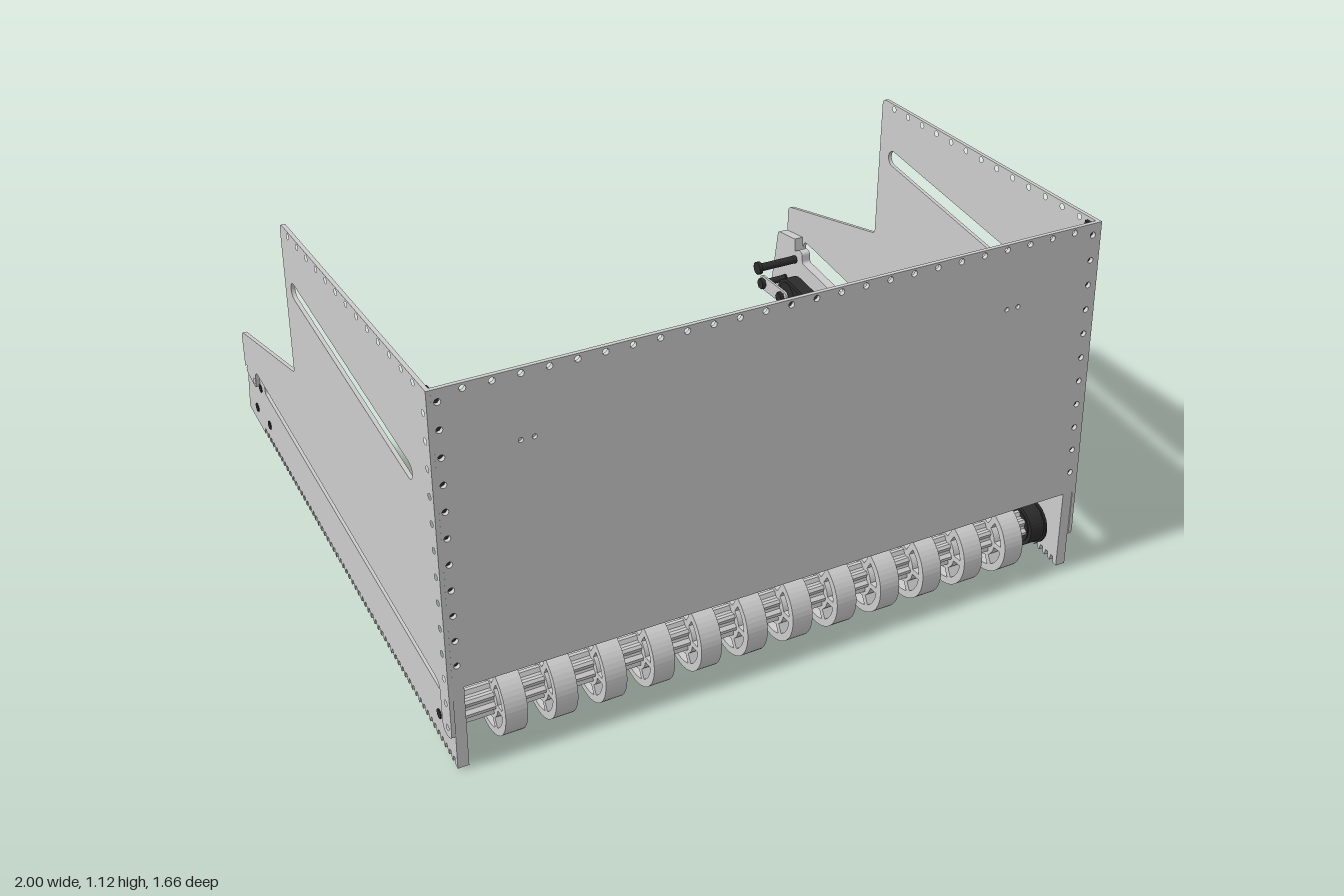
import * as THREE from 'three';

const grey = new THREE.MeshStandardMaterial({ color: 0xcccccc });
const dark = new THREE.MeshStandardMaterial({ color: 0x2b2b2b });
const blue = new THREE.MeshStandardMaterial({ color: 0xb4dcec });

// Front plane leans back slightly
const frontZ = (y) => 0.83 - 0.0355 * y;

// Closed shape from [u, v, cornerRadius] points
function roundedShape(pts) {
  const s = new THREE.Shape();
  pts.forEach(([x, y, r = 0], i) => {
    const p = new THREE.Vector2(x, y);
    const toward = (q) => p.clone().add(new THREE.Vector2(q[0] - x, q[1] - y).setLength(r));
    const a = toward(pts[(i + pts.length - 1) % pts.length]);
    const b = toward(pts[(i + 1) % pts.length]);
    if (i === 0) s.moveTo(a.x, a.y); else s.lineTo(a.x, a.y);
    if (r > 0) s.quadraticCurveTo(x, y, b.x, b.y);
  });
  s.closePath();
  return s;
}
const sideShape = (pts) => roundedShape(pts.map(([z, y, r]) => [-z, y, r]));

function addHole(shape, x, y, r) {
  shape.holes.push(new THREE.Path().absarc(x, y, r, 0, Math.PI * 2, true));
}

function extrude(shape, depth, curveSegments = 6) {
  return new THREE.ExtrudeGeometry(shape, { depth, bevelEnabled: false, curveSegments });
}

function add(parent, name, geo, mat = grey) {
  const m = new THREE.Mesh(geo, mat);
  m.name = name;
  parent.add(m);
  return m;
}

// Extrude a (-z, y) shape from x0 to x1
function addSide(parent, name, shape, x0, x1, mat) {
  return add(parent, name, extrude(shape, x1 - x0).rotateY(Math.PI / 2).translate(x0, 0, 0), mat);
}

// Cylinder along x
function addPin(parent, name, r, x0, x1, y, z, mat = dark, seg = 14) {
  const a = Math.min(x0, x1), b = Math.max(x0, x1);
  const geo = new THREE.CylinderGeometry(r, r, b - a, seg).rotateZ(Math.PI / 2).translate((a + b) / 2, y, z);
  return add(parent, name, geo, mat);
}

// Extrude an (x, y) shape and lean it onto the front plane
function addFront(parent, name, shape, back, thickness, mat) {
  const geo = extrude(shape, thickness);
  const p = geo.attributes.position;
  for (let i = 0; i < p.count; i++) p.setZ(i, p.getZ(i) - back - thickness + frontZ(p.getY(i)));
  geo.computeVertexNormals();
  return add(parent, name, geo, mat);
}

const rect = (x0, y0, x1, y1) => roundedShape([[x0, y0], [x1, y0], [x1, y1], [x0, y1]]);

function upperPlateShape() {
  const s = sideShape([
    [0.79, 1.125], [-0.26, 1.125, 0.02], [-0.26, 0.655, 0.015], [-0.79, 0.537, 0.02],
    [-0.79, 0.405, 0.03], [-0.69, 0.383, 0.015], [-0.68, 0.45, 0.025], [0.76, 0.252, 0.03],
    [0.765, 0.105, 0.03], [0.826, 0.105, 0.03],
  ]);
  for (let i = 0; i < 13; i++) {
    addHole(s, -(frontZ(0.135 + i * 0.0767) - 0.026), 0.135 + i * 0.0767, 0.009);
    addHole(s, -(0.71 - i * 0.0755), 1.11, 0.009);
  }
  addHole(s, 0.702, 0.405, 0.009);
  addHole(s, 0.775, 0.418, 0.009);
  // Long sloping slot
  const tilt = Math.atan2(0.12, 0.825);
  const slot = new THREE.Path();
  slot.absarc(-0.64, 0.828, 0.025, tilt + Math.PI / 2, tilt + Math.PI * 1.5, false);
  slot.absarc(0.185, 0.945, 0.025, tilt - Math.PI / 2, tilt + Math.PI / 2, false);
  slot.closePath();
  s.holes.push(slot);
  return s;
}

function railShape() {
  const pts = [
    [-0.832, 0.245, 0.01], [-0.8, 0.445, 0.01], [-0.69, 0.46], [-0.685, 0.415], [-0.66, 0.43, 0.008],
    [-0.64, 0.425, 0.01], [-0.635, 0.388, 0.01], [0.76, 0.2, 0.03], [0.772, 0.28], [0.818, 0.28], [0.824, 0.012],
  ];
  // Saw-tooth lower edge
  const n = 60, bottom = (z) => 0.245 - (z + 0.832) * 0.1405;
  for (let i = 0; i < n; i++) {
    const z = 0.81 - i * 0.025;
    pts.push([z, bottom(z)], [z - 0.004, bottom(z) + 0.021], [z - 0.013, bottom(z) + 0.021], [z - 0.018, bottom(z)]);
  }
  return sideShape(pts);
}

function sideWall(sx) {
  const g = new THREE.Group();
  g.name = sx > 0 ? 'leftSide' : 'rightSide';
  const span = (a, b) => (sx > 0 ? [a, b] : [-b, -a]);
  addSide(g, 'sidePlate', upperPlateShape(), ...span(0.988, 1));
  addSide(g, 'toothedRail', railShape(), ...span(0.956, 0.988));
  // Corner angle strip with its nuts
  const leg = sideShape([[frontZ(0.28) - 0.012, 0.28], [frontZ(1.115) - 0.012, 1.115],
    [frontZ(1.115) - 0.045, 1.115], [frontZ(0.28) - 0.045, 0.28]]);
  addSide(g, 'cornerStrip', leg, ...span(0.978, 0.988), dark);
  const [a, b] = span(0.953, 0.988);
  addFront(g, 'cornerStrip', rect(a, 0.28, b, 1.115), 0.012, 0.01, dark);
  for (let i = 0; i < 11; i++) {
    const y = 0.335 + i * 0.0755;
    addPin(g, 'cornerNut', 0.011, sx * 0.966, sx * 0.979, y, frontZ(y) - 0.032, dark, 6);
  }
  // Rear stop bolt and rail pins
  addPin(g, 'stopBolt', 0.014, sx * 0.81, sx * 0.99, 0.385, -0.682);
  addPin(g, 'stopBoltHead', 0.023, sx * 0.8, sx * 0.812, 0.385, -0.682);
  for (const [z, y] of [[0.715, 0.115], [-0.62, 0.285], [-0.74, 0.287]])
    addPin(g, 'railPin', 0.014, sx * 0.952, sx * 0.991, y, z);
  return g;
}

function wheelShape() {
  const s = new THREE.Shape().absarc(0, 0, 0.111, 0, Math.PI * 2, false);
  // Windows between the spokes
  for (let i = 0; i < 6; i++) {
    const a = i * Math.PI / 3, w = new THREE.Path();
    w.absarc(0, 0, 0.089, a + 0.1, a + 0.95, false);
    w.absarc(0, 0, 0.06, a + 0.9, a + 0.15, true);
    w.closePath();
    s.holes.push(w);
  }
  return s;
}

function roller() {
  const g = new THREE.Group();
  g.name = 'roller';
  // Fluted shaft
  const pts = [];
  for (let i = 0; i < 32; i++) {
    const r = i % 4 < 2 ? 0.05 : 0.04, a = i * Math.PI / 16;
    pts.push([Math.cos(a) * r, Math.sin(a) * r]);
  }
  const shaft = extrude(roundedShape(pts), 1.89).rotateY(Math.PI / 2).translate(-0.95, 0, 0);
  add(g, 'shaft', shaft);
  const wheel = extrude(wheelShape(), 0.064, 24).rotateY(Math.PI / 2).translate(-0.032, 0, 0);
  for (let i = 0; i < 12; i++) {
    add(g, 'wheel', wheel).position.x = -0.814 + i * 0.1459;
  }
  addPin(g, 'axle', 0.018, -0.975, 0.975, 0, 0, grey);
  g.position.set(0, 0.116, 0.708);
  return g;
}

function beltDrive() {
  const g = new THREE.Group();
  g.name = 'beltDrive';
  const pts = [];
  const arc = (z, y, r, a0, a1, n) => {
    for (let i = 0; i <= n; i++) {
      const a = a0 + (a1 - a0) * i / n;
      pts.push(new THREE.Vector2(-z + r * Math.cos(a), y + r * Math.sin(a)));
    }
  };
  // Around the front pulley, along the slack loop, around the rear pulley
  arc(0.712, 0.116, 0.058, 1.7, 4.85, 16);
  pts.push(new THREE.Vector2(0.425, 0.2), new THREE.Vector2(0.443, 0.195), new THREE.Vector2(0.454, 0.175));
  arc(-0.498, 0.1, 0.04, Math.PI, Math.PI * 2, 12);
  pts.push(new THREE.Vector2(0.526, 0.19), new THREE.Vector2(0.535, 0.212), new THREE.Vector2(0.555, 0.222));
  arc(-0.62, 0.285, 0.055, 4.85, 7.98, 16);
  const offset = (d) => pts.map((p, i) => {
    const t = pts[(i + 1) % pts.length].clone().sub(pts[(i + pts.length - 1) % pts.length]).normalize();
    return new THREE.Vector2(p.x + t.y * d, p.y - t.x * d);
  });
  const ring = new THREE.Shape(offset(0.006));
  ring.holes.push(new THREE.Path(offset(-0.006)));
  addSide(g, 'belt', ring, 0.888, 0.936, dark);
  addPin(g, 'frontPulley', 0.052, 0.885, 0.94, 0.116, 0.712, dark, 24);
  addPin(g, 'frontPulleyFlange', 0.07, 0.936, 0.944, 0.116, 0.712, dark, 24);
  addPin(g, 'rearPulley', 0.049, 0.885, 0.94, 0.285, -0.62, dark, 24);
  // Link plate carrying the rear pulley
  const link = sideShape([[-0.59, 0.26, 0.02], [-0.59, 0.312, 0.02], [-0.765, 0.312, 0.02], [-0.765, 0.26, 0.02]]);
  addSide(g, 'linkPlate', link, 0.866, 0.874);
  for (const z of [-0.62, -0.742]) {
    addPin(g, 'linkBolt', 0.012, 0.86, 0.97, 0.286, z);
    addPin(g, 'linkBoltHead', 0.02, 0.852, 0.866, 0.286, z, dark, 6);
  }
  return g;
}

export function createModel() {
  const model = new THREE.Group();
  model.name = 'frame';

  // Front panel with rows of holes
  const panel = rect(-0.988, 0.265, 0.988, 1.125);
  for (let i = 0; i < 25; i++) addHole(panel, -0.907 + i * 0.0756, 1.11, 0.009);
  for (let i = 0; i < 11; i++) for (const s of [-1, 1]) addHole(panel, s * 0.972, 0.335 + i * 0.0755, 0.009);
  for (const x of [-0.765, -0.728, 0.693, 0.73]) addHole(panel, x, 0.93, 0.007);
  addFront(model, 'frontPanel', panel, 0, 0.012);

  // Hooked clips behind the panel
  const clip = sideShape([[0.788, 0.912], [0.788, 0.952], [0.72, 0.952, 0.008], [0.712, 0.915, 0.008],
    [0.735, 0.908], [0.738, 0.932], [0.768, 0.932], [0.768, 0.912]]);
  addSide(model, 'leftClip', clip, 0.677, 0.747, blue);
  addSide(model, 'rightClip', clip, -0.782, -0.712);

  model.add(sideWall(1), sideWall(-1), roller(), beltDrive());
  return model;
}
